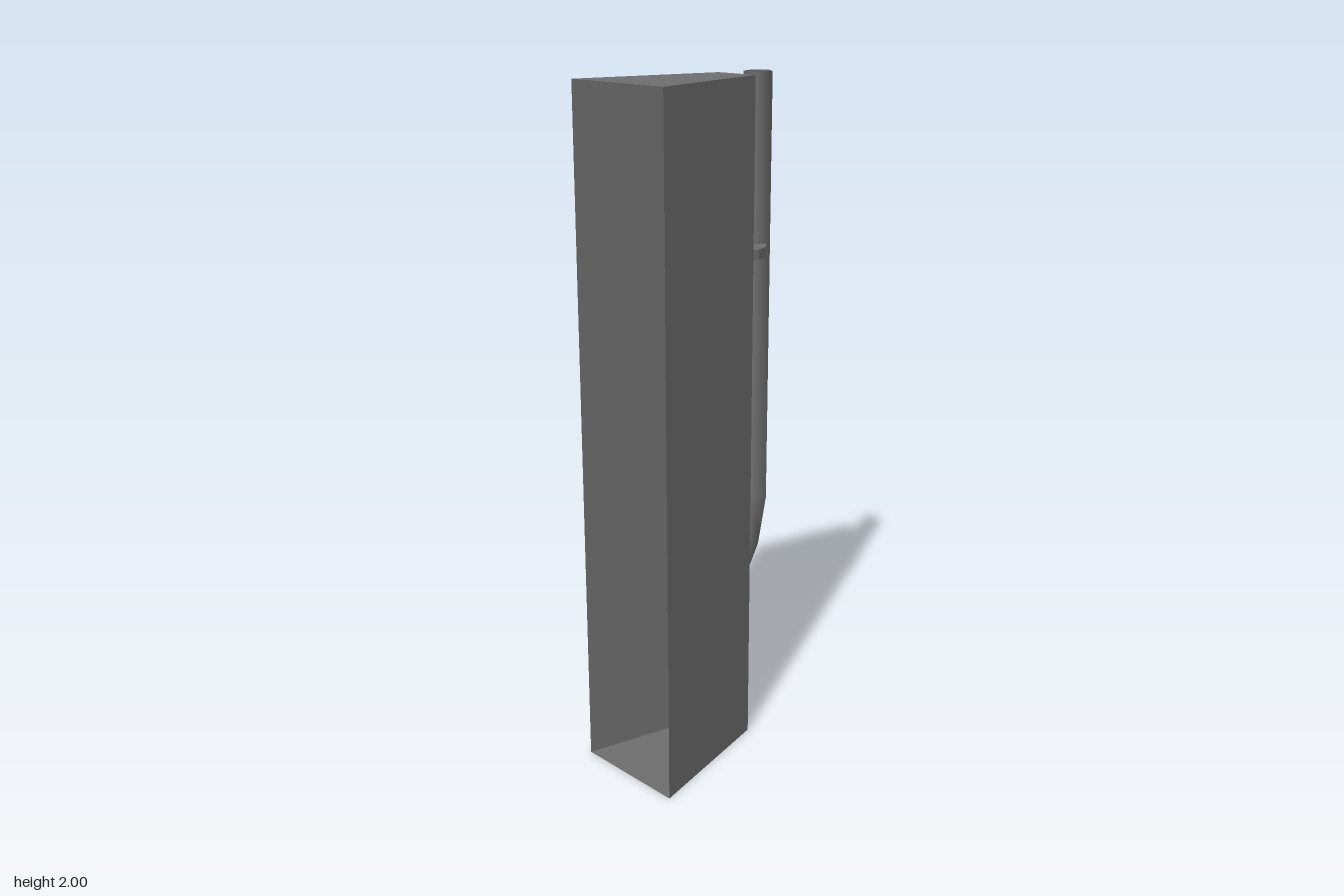
import * as THREE from 'three';

export function createModel() {
  const model = new THREE.Group();
  const grey = new THREE.MeshStandardMaterial({ color: 0x6e6e6e, side: THREE.DoubleSide });
  grey.name = 'grey';
  const add = (name, geometry) => {
    const mesh = new THREE.Mesh(geometry, grey);
    mesh.name = name;
    model.add(mesh);
  };

  // Tapered casing, narrow at the back and open at the front
  const box = new THREE.BoxGeometry(0.35, 2, 0.436);
  box.translate(0, 1, 0.083);
  const index = Array.from(box.index.array);
  index.splice(24, 6); // drop the front face
  box.setIndex(index);
  box.clearGroups();
  const pos = box.attributes.position;
  for (let i = 0; i < pos.count; i++) {
    if (pos.getZ(i) < 0) pos.setX(i, Math.sign(pos.getX(i)) * 0.07);
  }
  const casing = box.toNonIndexed();
  casing.computeVertexNormals();
  add('casing', casing);

  // Five-sided open pipe: [centre y, centre z, x scale, z scale, tilt]
  const rings = [
    [2, -0.259, 1, 1, 0],
    [0.73, -0.259, 1, 1, 0.1],
    [0.59, -0.228, 0.98, 0.95, 0.4],
    [0.414, -0.132, 0.82, 0.03, 2.4],
  ];
  const sides = 5, radius = 0.043;
  const vertices = [], faces = [];
  rings.forEach(([y, z, sx, sz, tilt], r) => {
    for (let i = 0; i < sides; i++) {
      const a = (i / sides) * Math.PI * 2;
      const ox = radius * Math.sin(a), oz = -radius * Math.cos(a);
      vertices.push(-0.036 + ox * sx, y + oz * tilt, z + oz * sz);
      if (r > 0) {
        const j = (i + 1) % sides;
        const a0 = (r - 1) * sides + i, a1 = (r - 1) * sides + j;
        const b0 = r * sides + i, b1 = r * sides + j;
        faces.push(a0, a1, b0, a1, b1, b0);
      }
    }
  });
  const pipe = new THREE.BufferGeometry();
  pipe.setAttribute('position', new THREE.Float32BufferAttribute(vertices, 3));
  pipe.setIndex(faces);
  pipe.computeVertexNormals();
  add('pipe', pipe);

  // Curved flat bracket holding the pipe, outlined in plan as [x, -z]
  const outline = [
    [0.043, 0.136], [0.051, 0.178], [0.037, 0.222], [-0.005, 0.267],
    [-0.05, 0.235], [-0.021, 0.2], [-0.024, 0.165], [-0.046, 0.136],
  ].map(([x, y]) => new THREE.Vector2(x, y));
  const bracket = new THREE.ExtrudeGeometry(new THREE.Shape(outline), { depth: 0.03, bevelEnabled: false });
  bracket.rotateX(-Math.PI / 2);
  bracket.translate(0, 1.488, 0);
  add('bracket', bracket);

  return model;
}
